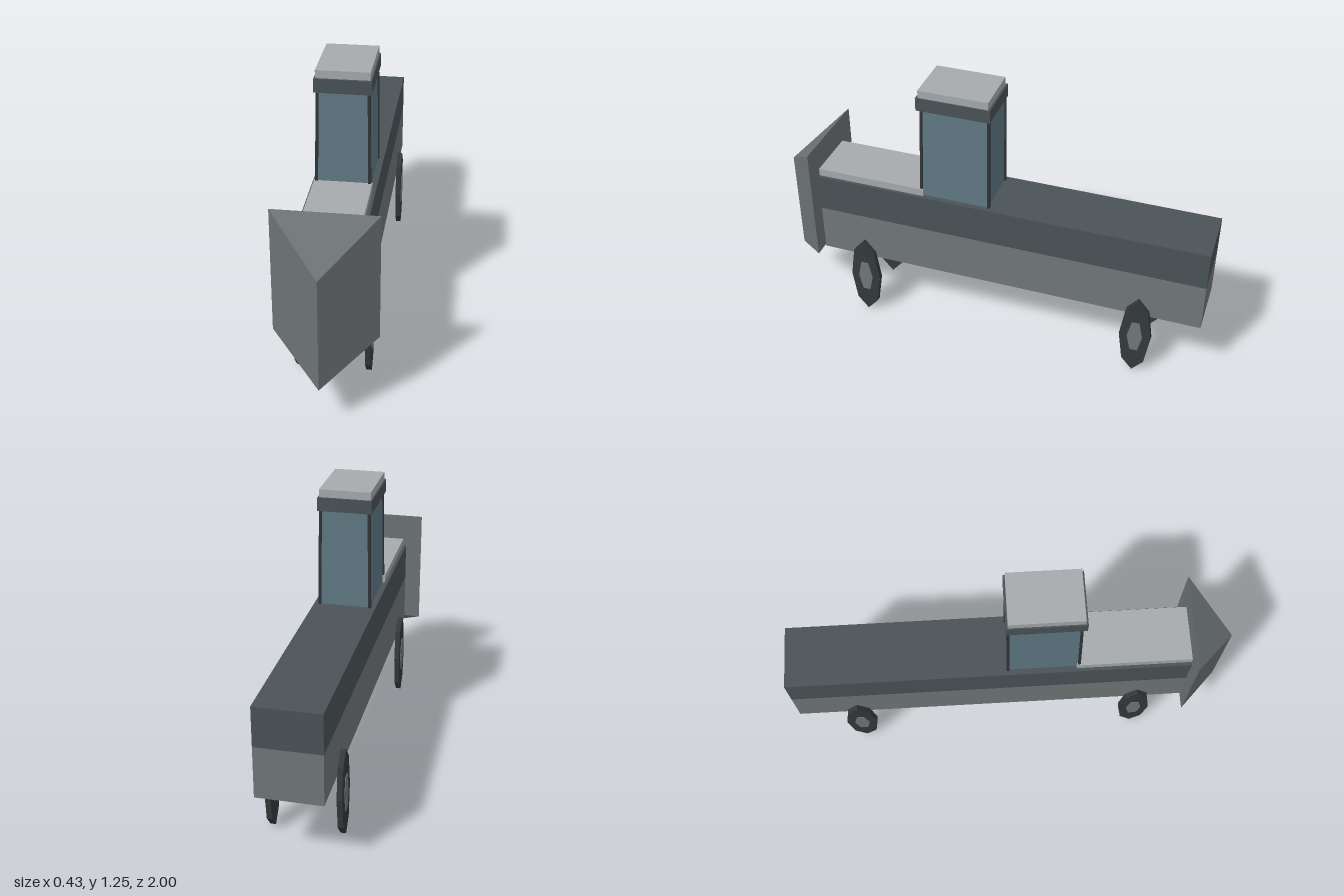
import * as THREE from 'three';

const paint = (color) => new THREE.MeshStandardMaterial({ color, flatShading: true });

export function createModel() {
  const model = new THREE.Group();
  const lower = paint(0x707676), dark = paint(0x4a5357), pale = paint(0xa6aaac);
  const glass = paint(0x5f7883), frame = paint(0x2f3437), tyre = paint(0x34393b), plowGrey = paint(0x6c7273);

  const add = (name, geometry, material) => {
    const mesh = new THREE.Mesh(geometry, material);
    mesh.name = name;
    model.add(mesh);
    return mesh;
  };

  // Box given by its limits on each axis
  const block = (name, [x0, x1], [y0, y1], [z0, z1], material) => {
    const mesh = add(name, new THREE.BoxGeometry(x1 - x0, y1 - y0, z1 - z0), material);
    mesh.position.set((x0 + x1) / 2, (y0 + y1) / 2, (z0 + z1) / 2);
    return mesh;
  };

  // Box whose bottom and top rectangles differ: [x0, x1, z0, z1]
  const taper = (name, y0, y1, bottom, top, material) => {
    const geometry = new THREE.BoxGeometry(1, 1, 1);
    const p = geometry.attributes.position;
    for (let i = 0; i < p.count; i++) {
      const r = p.getY(i) > 0 ? top : bottom;
      p.setXYZ(i, p.getX(i) > 0 ? r[1] : r[0], p.getY(i) > 0 ? y1 : y0, p.getZ(i) > 0 ? r[3] : r[2]);
    }
    geometry.computeVertexNormals();
    return add(name, geometry, material);
  };

  // Long hull with two-tone sides, and the raised hood
  block('lowerBody', [-0.14, 0.14], [0.315, 0.54], [-1, 0.8], lower);
  block('upperBody', [-0.14, 0.14], [0.54, 0.715], [-1, 0.8], dark);
  block('hood', [-0.125, 0.125], [0.715, 0.75], [0.29, 0.8], pale);

  // Wedge plow: an upright triangular prism with its nose dropped
  const wedge = new THREE.Shape([[-0.217, -0.8], [0.217, -0.8], [0, -1]].map(([x, y]) => new THREE.Vector2(x, y)));
  const plow = new THREE.ExtrudeGeometry(wedge, { depth: 0.55, bevelEnabled: false });
  plow.rotateX(-Math.PI / 2);
  const p = plow.attributes.position;
  for (let i = 0; i < p.count; i++) {
    p.setY(i, p.getY(i) + (p.getZ(i) > 0.9 ? 0.19 : 0.325) - (p.getZ(i) > 0.9 && p.getY(i) > 0.3 ? 0.05 : 0));
  }
  plow.computeVertexNormals();
  add('plow', plow, plowGrey);

  // Cabin glass with leaning corner posts
  taper('cabinGlass', 0.715, 1.16, [-0.114, 0.114, -0.013, 0.3], [-0.108, 0.108, -0.013, 0.288], glass);
  const post = 0.012;
  for (const side of [-1, 1]) {
    const span = (outer) => [side * outer, side * (outer - post)].sort((a, b) => a - b);
    const low = span(0.12), high = span(0.113);
    taper('frontPost', 0.715, 1.17, [...low, 0.307 - post, 0.307], [...high, 0.294 - post, 0.294], frame);
    taper('rearPost', 0.715, 1.19, [...low, -0.02, -0.02 + post], [...high, -0.02, -0.02 + post], frame);
  }

  // Roof
  block('roofBand', [-0.12, 0.12], [1.155, 1.215], [-0.023, 0.31], dark);
  block('roofCap', [-0.114, 0.114], [1.215, 1.25], [-0.014, 0.3], pale);

  // Narrow eight-sided wheels with six-sided hubs
  const disc = (name, sides, x, z, width, ry, rz, turn, material) => {
    const geometry = new THREE.CylinderGeometry(1, 1, width, sides, 1, false, turn);
    geometry.rotateZ(Math.PI / 2).scale(1, ry, rz);
    add(name, geometry, material).position.set(x, 0.203, z);
  };
  for (const side of [-1, 1]) {
    for (const z of [0.59, -0.72]) {
      disc('wheel', 8, side * 0.151, z, 0.024, 0.203, 0.072, 0, tyre);
      disc('hub', 6, side * 0.152, z, 0.028, 0.092, 0.035, 0, lower);
    }
  }
  return model;
}
